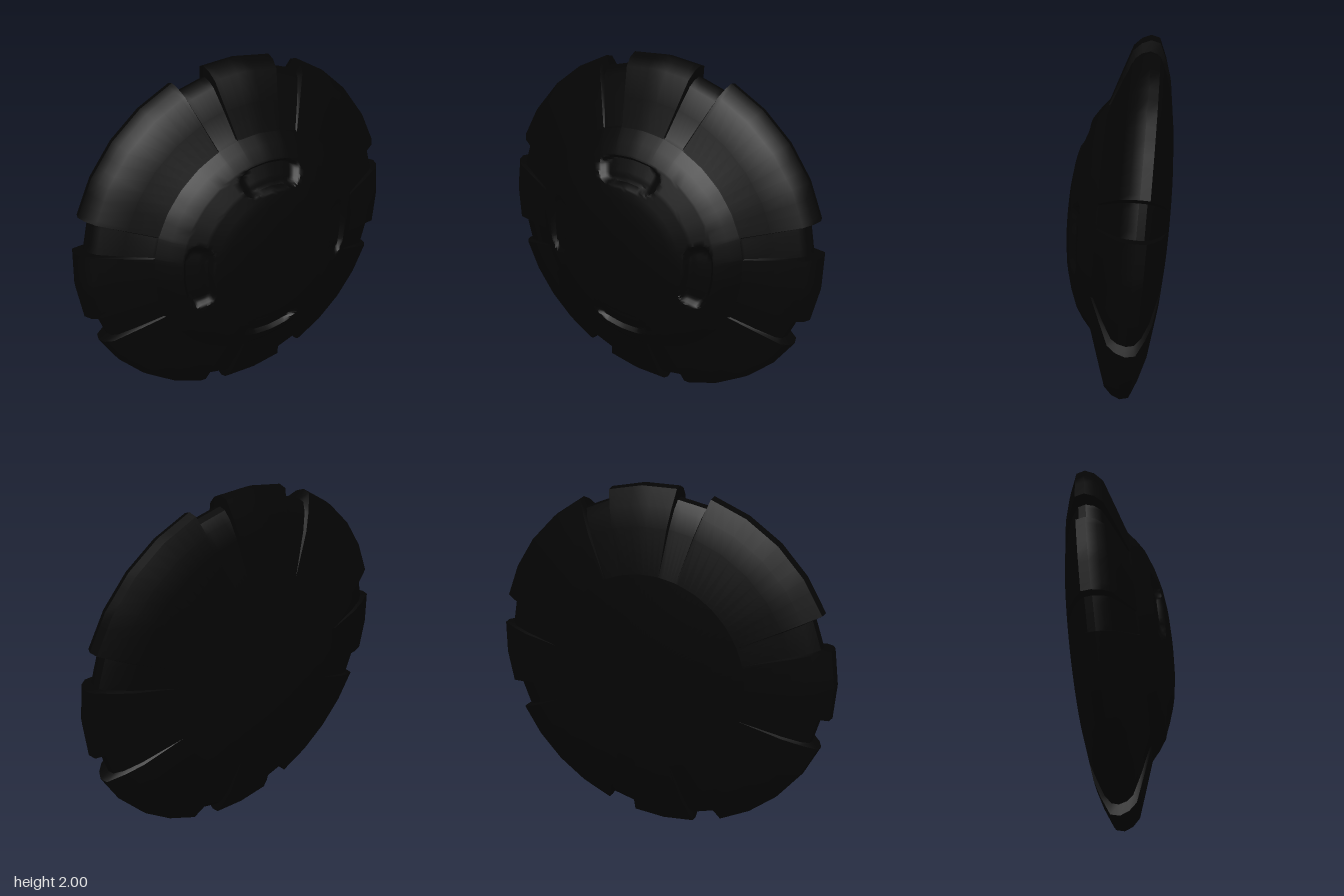
import * as THREE from 'three';
import { toCreasedNormals } from 'three/addons/utils/BufferGeometryUtils.js';

const RAD = Math.PI / 180;
const TOOTH = 11.3, PANEL = 21.5; // angles either side of each notch

// Section rows: [radius, height, notch radius, notch height, subdivisions]
const DOME = [
  [0, 0.371], [0.1, 0.37], [0.22, 0.362], [0.32, 0.347], [0.36, 0.337],
  [0.44, 0.314, 0, 0, 8], [0.54, 0.274, 0, 0, 10], [0.6, 0.233], [0.65, 0.19],
];
const RIM = [
  [0.65, 0.19], [0.66, 0.186, 0.66, 0.178], [0.8, 0.138, 0.798, 0.123],
  [0.945, 0.087, 0.91, 0.072], [0.985, 0.046, 0.937, 0.041], [1.004, 0, 0.95, 0],
  [0.993, -0.046, 0.94, -0.036], [0.9, -0.087, 0.895, -0.068],
  [0.8, -0.119, 0.8, -0.103], [0.56, -0.158],
];
const BACK = [[0.56, -0.158], [0.4, -0.174], [0.2, -0.182], [0, -0.184]];

// Straight rim facets between these angles
const BREAKS = [0, TOOTH, PANEL, 33.25, 45];
function chord(angle) {
  const a = Math.abs(angle);
  let k = 0;
  while (k < BREAKS.length - 2 && a > BREAKS[k + 1]) k++;
  const mid = (BREAKS[k] + BREAKS[k + 1]) / 2, half = (BREAKS[k + 1] - BREAKS[k]) / 2;
  return Math.cos(half * RAD) / Math.cos((a - mid) * RAD);
}

// Angles across one quadrant, centred on a tooth
const half = [0, 3, 6, 9, 11.1, 11.6, 14, 16, 18, 19.5, 21.2, 21.7, 23, 26, 29.5, 33.25, 37, 41];
const quadrant = [-45, ...half.slice(1).reverse().map((a) => -a), ...half];

// Depth of the rounded slot in the dome
function slotDepth(angle, r) {
  const f = (Math.abs(angle) / 22.5) ** 4 + (Math.abs(r - 0.457) / 0.07) ** 4;
  return 0.03 * THREE.MathUtils.clamp((1 - f) / 0.6, 0, 1);
}

function subdivide(rows) {
  const out = [];
  rows.forEach(([r, h, gr, gh, n = 1], i) => {
    const to = gr ? [r, h, gr, gh] : [r, h, r, h];
    const from = i ? out[out.length - 1] : to;
    for (let s = 1; s <= n; s++) out.push(to.map((v, k) => from[k] + ((v - from[k]) * s) / n));
  });
  return out;
}

// Sweep section rows round the axis, cutting notches and slots
function ringShell(name, rows, material, slots = false) {
  const list = subdivide(rows), positions = [], index = [];
  const count = quadrant.length * 4;
  for (const [r, h, gr, gh] of list) {
    for (let q = 0; q < 4; q++) {
      for (const a of quadrant) {
        const notch = Math.abs(a) > TOOTH && Math.abs(a) < PANEL;
        const base = notch ? gr : r;
        const radius = base * (1 + (chord(a) - 1) * base);
        const t = (q * 90 + a) * RAD;
        const y = (notch ? gh : h) - (slots ? slotDepth(a, r) : 0);
        positions.push(radius * Math.cos(t), radius * Math.sin(t), y);
      }
    }
  }
  for (let j = 0; j < list.length - 1; j++) {
    for (let i = 0; i < count; i++) {
      const n = (i + 1) % count;
      const a = j * count + i, b = a + count, c = (j + 1) * count + n, d = j * count + n;
      if (list[j + 1][0] > 0) index.push(a, b, c);
      if (list[j][0] > 0) index.push(a, c, d);
    }
  }
  const geometry = new THREE.BufferGeometry();
  geometry.setAttribute('position', new THREE.Float32BufferAttribute(positions, 3));
  geometry.setIndex(index);
  const mesh = new THREE.Mesh(toCreasedNormals(geometry, 32 * RAD), material);
  mesh.name = name;
  return mesh;
}

export function createModel() {
  const black = new THREE.MeshStandardMaterial({ color: 0x040404 });
  black.name = 'black';

  // Disc, leaning slightly up and to its left
  const disc = new THREE.Group();
  disc.name = 'disc';
  disc.add(
    ringShell('slottedDome', DOME, black, true),
    ringShell('notchedRim', RIM, black),
    ringShell('backPlate', BACK, black),
  );
  disc.rotation.set(-5.1 * RAD, 15.1 * RAD, 0);
  disc.position.set(0.001, 1, -0.042);

  const model = new THREE.Group();
  model.name = 'shieldDisc';
  model.add(disc);
  return model;
}
